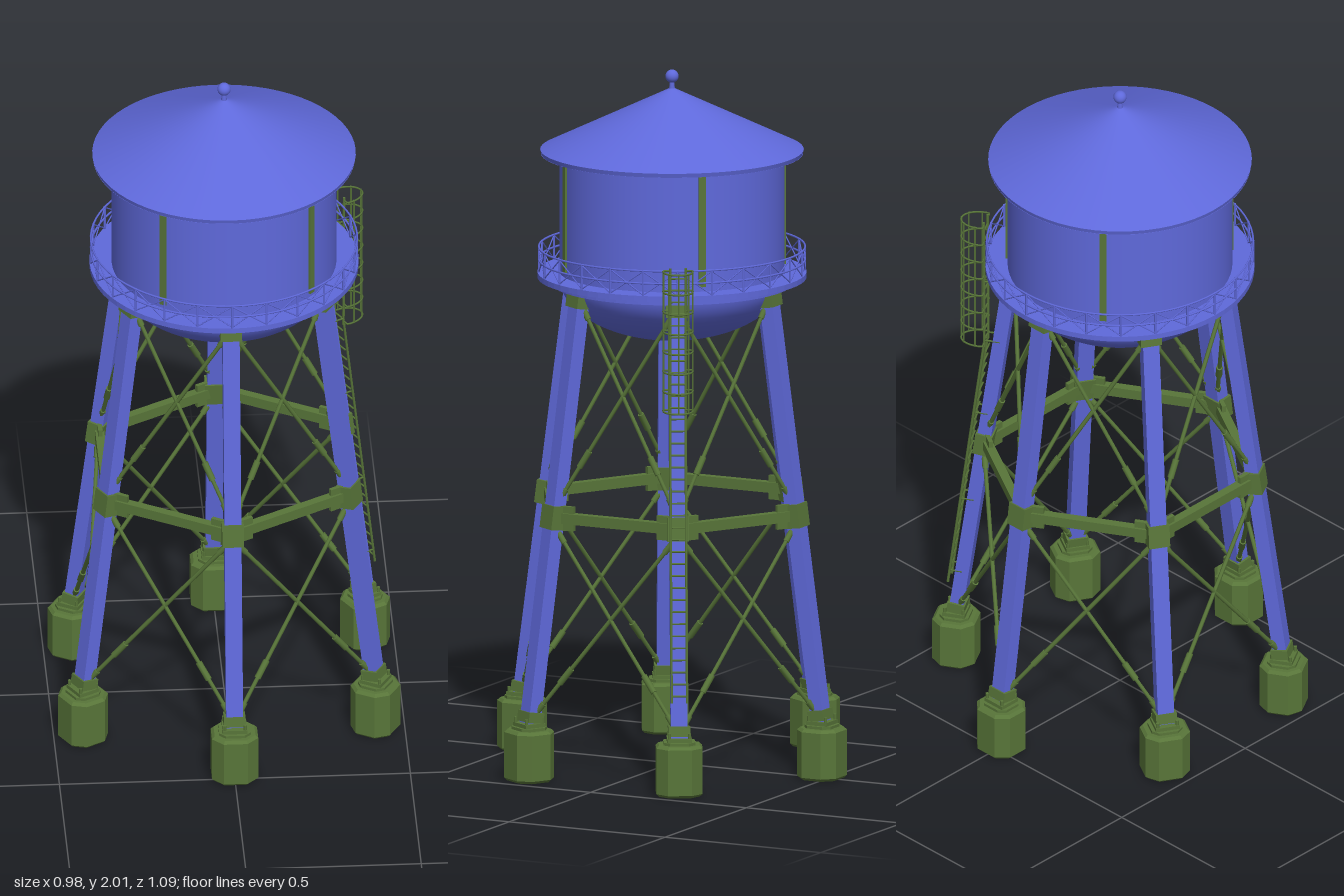
import * as THREE from 'three';
import { mergeGeometries } from 'three/addons/utils/BufferGeometryUtils.js';

const blue = new THREE.MeshStandardMaterial({ color: 0x5f69db, side: THREE.DoubleSide });
const green = new THREE.MeshStandardMaterial({ color: 0x587539 });
const V = (x, y, z) => new THREE.Vector3(x, y, z);
const UP = V(0, 1, 0);

// point at bearing a (0 = front, turning towards +x)
const polar = (a, r, y) => V(Math.sin(a) * r, y, Math.cos(a) * r);
const legAngle = (k) => (k * Math.PI) / 3;
const legRadius = (y) => 0.5 - 0.138 * y;

function add(parent, name, geo, mat, x = 0, y = 0, z = 0) {
  const m = new THREE.Mesh(geo, mat);
  m.name = name;
  m.position.set(x, y, z);
  parent.add(m);
  return m;
}

// round bar between two points
function bar(p, q, r, sides = 6) {
  const d = q.clone().sub(p);
  const g = new THREE.CylinderGeometry(r, r, d.length(), sides);
  g.applyQuaternion(new THREE.Quaternion().setFromUnitVectors(UP, d.clone().normalize()));
  const c = p.clone().add(q).multiplyScalar(0.5);
  return g.translate(c.x, c.y, c.z);
}

// square-section beam between two points, kept upright
function beam(p, q, w, h) {
  const d = q.clone().sub(p), g = new THREE.BoxGeometry(w, h, d.length());
  const m = new THREE.Matrix4().lookAt(q, p, UP);
  m.setPosition(p.clone().add(q).multiplyScalar(0.5));
  return g.applyMatrix4(m);
}

// rectangle with cut corners, extruded upwards
function cutBlock(w, d, c, h, bevel) {
  const x = w / 2, z = d / 2;
  const s = new THREE.Shape([[x - c, -z], [x, -z + c], [x, z - c], [x - c, z], [-x + c, z], [-x, z - c], [-x, -z + c], [-x + c, -z]]
    .map(([a, b]) => new THREE.Vector2(a, b)));
  const g = new THREE.ExtrudeGeometry(s, { depth: h - bevel, bevelEnabled: bevel > 0, bevelThickness: bevel, bevelSize: bevel, bevelOffset: -bevel, bevelSegments: 1 });
  return g.rotateX(-Math.PI / 2);
}

const lathe = (pts, n = 64) => new THREE.LatheGeometry(pts.map(([r, y]) => new THREE.Vector2(r, y)), n);

function makeTank(root) {
  const tank = new THREE.Group();
  tank.name = 'tank';
  root.add(tank);
  add(tank, 'tankWall', new THREE.CylinderGeometry(0.32, 0.32, 0.38, 64, 1, true), blue, 0, 1.585);
  const bowl = [];
  for (let i = 0; i <= 16; i++) {
    const t = (i / 16) * Math.PI / 2;
    bowl.push([0.32 * Math.sin(t), 1.4 - 0.175 * Math.cos(t)]);
  }
  add(tank, 'bowl', lathe(bowl), blue);
  add(tank, 'roof', lathe([[0.375, 1.77], [0, 1.95]]), blue);
  add(tank, 'eave', new THREE.CylinderGeometry(0.375, 0.372, 0.012, 64, 1, true), blue, 0, 1.764);
  add(tank, 'soffit', new THREE.RingGeometry(0.31, 0.373, 64).rotateX(Math.PI / 2), blue, 0, 1.758);
  add(tank, 'finialStem', new THREE.CylinderGeometry(0.006, 0.009, 0.035, 12), blue, 0, 1.955);
  add(tank, 'finialBall', new THREE.SphereGeometry(0.019, 20, 14), blue, 0, 1.981);
  add(tank, 'drainPipe', new THREE.CylinderGeometry(0.005, 0.005, 0.1, 8), green, -0.06, 1.24);
  add(tank, 'drainCap', new THREE.CylinderGeometry(0.022, 0.006, 0.018, 16), blue, 0, 1.221);
  // vertical seams on the wall
  for (const deg of [47, 133, -36, -144]) {
    const a = THREE.MathUtils.degToRad(deg), p = polar(a, 0.32, 1.595);
    add(tank, 'wallSeam', new THREE.BoxGeometry(0.02, 0.33, 0.012), green, p.x, p.y, p.z).rotation.y = a;
  }
}

function makeWalkway(root) {
  const walkway = new THREE.Group();
  walkway.name = 'walkway';
  root.add(walkway);
  const ring = (ri, ro, y0, y1) => [[ri, y0], [ro, y0], [ro, y1], [ri, y1]];
  const flat = blue.clone();
  flat.flatShading = true;
  add(walkway, 'deck', lathe(ring(0.315, 0.383, 1.4, 1.416)), flat);
  add(walkway, 'deckRing', lathe(ring(0.3, 0.345, 1.383, 1.401)), flat);
  for (const y of [1.452, 1.488])
    add(walkway, 'handrail', new THREE.TorusGeometry(0.379, 0.003, 6, 72).rotateX(Math.PI / 2), blue, 0, y);
  // posts and crossed bars between them
  const parts = [], n = 24, step = (2 * Math.PI) / n;
  for (let i = 0; i < n; i++) {
    const a = i * step, b = a + step;
    parts.push(bar(polar(a, 0.379, 1.41), polar(a, 0.379, 1.49), 0.0035));
    parts.push(bar(polar(a, 0.379, 1.418), polar(b, 0.379, 1.486), 0.002, 5));
    parts.push(bar(polar(a, 0.379, 1.486), polar(b, 0.379, 1.418), 0.002, 5));
  }
  add(walkway, 'railingBars', mergeGeometries(parts), blue);
}

function makeLeg(root, k) {
  const leg = new THREE.Group();
  leg.name = 'leg';
  leg.rotation.y = legAngle(k);
  root.add(leg);
  add(leg, 'footing', cutBlock(0.132, 0.125, 0.032, 0.14, 0.008), green, 0, 0, 0.481);
  add(leg, 'footingCap', cutBlock(0.09, 0.085, 0.018, 0.01, 0), green, 0, 0.138, 0.481);
  add(leg, 'basePlate', new THREE.BoxGeometry(0.07, 0.012, 0.066), green, 0, 0.153, 0.481);
  for (const sx of [-1, 1]) for (const sz of [-1, 1])
    add(leg, 'anchorBolt', new THREE.CylinderGeometry(0.005, 0.005, 0.02, 6), green, sx * 0.029, 0.164, 0.481 + sz * 0.027);
  add(leg, 'legColumn', beam(V(0, 0.15, legRadius(0.15)), V(0, 1.39, legRadius(1.39)), 0.048, 0.04), blue);
  // collars where beams and braces meet the leg
  for (const [y, h] of [[0.175, 0.03], [0.745, 0.068], [1.37, 0.055]])
    add(leg, 'collar', new THREE.BoxGeometry(0.062, h, 0.05), green, 0, y, legRadius(y)).rotation.x = -0.137;
}

function makeBracing(root) {
  const node = (k, y) => polar(legAngle(k), legRadius(y), y);
  const struts = [], rods = [], sleeves = [], plates = [];
  for (let k = 0; k < 6; k++) {
    struts.push(beam(node(k, 0.745), node(k + 1, 0.745), 0.026, 0.03));
    for (const [y0, y1] of [[0.165, 0.725], [0.775, 1.365]])
      for (const [i, j] of [[k, k + 1], [k + 1, k]]) {
        const p = node(i, y0), q = node(j, y1);
        rods.push(bar(p, q, 0.0062));
        // turnbuckle
        sleeves.push(bar(p.clone().lerp(q, 0.2), p.clone().lerp(q, 0.28), 0.0095, 8));
        // clevis at each end
        sleeves.push(bar(p.clone().lerp(q, 0.03), p.clone().lerp(q, 0.09), 0.009, 8));
        sleeves.push(bar(p.clone().lerp(q, 0.91), p.clone().lerp(q, 0.97), 0.009, 8));
      }
    // gusset plates reaching from each leg towards its neighbours
    for (const [y, h] of [[0.745, 0.07], [1.37, 0.05]])
      for (const j of [k - 1, k + 1])
        plates.push(beam(node(k, y), node(k, y).lerp(node(j, y), 0.065 / legRadius(y)), 0.012, h));
  }
  add(root, 'horizontalStruts', mergeGeometries(struts), green);
  add(root, 'braceRods', mergeGeometries(rods), green);
  add(root, 'turnbuckles', mergeGeometries(sleeves), green);
  add(root, 'gussetPlates', mergeGeometries(plates), green);
}

function makeLadder(root) {
  const ladder = new THREE.Group();
  ladder.name = 'ladder';
  ladder.rotation.y = legAngle(2);
  root.add(ladder);
  const half = 0.022, bend = 1.08;
  const depth = (y) => (y < bend ? legRadius(y) + 0.036 : 0.395);
  const rails = [], rungs = [], cage = [];
  for (const s of [-half, half]) {
    rails.push(bar(V(s, 0.26, depth(0.26)), V(s, bend, depth(bend)), 0.004));
    rails.push(bar(V(s, bend, 0.393), V(s, 1.5, 0.395), 0.004));
    for (const y of [0.3, 0.55, 0.85, 1.1, 1.3])
      rails.push(bar(V(s, y, depth(y)), V(s, y, legRadius(y)), 0.003));
  }
  for (let y = 0.28; y < 1.49; y += 0.034)
    rungs.push(bar(V(-half, y, depth(y)), V(half, y, depth(y)), 0.0028));
  // safety cage hoops and uprights
  const hoop = (t) => [Math.cos(t) * 0.042, 0.41 + Math.sin(t) * 0.056];
  const angles = Array.from({ length: 11 }, (_, i) => -0.28 + (i / 10) * (Math.PI + 0.56));
  for (let i = 0; i < 8; i++) {
    const y = 1.09 + i * 0.0575;
    const pts = [V(half, y, 0.395), ...angles.map((t) => V(hoop(t)[0], y, hoop(t)[1])), V(-half, y, 0.395)];
    cage.push(new THREE.TubeGeometry(new THREE.CatmullRomCurve3(pts), 24, 0.003, 5));
  }
  for (const t of [0.1, 0.84, Math.PI / 2, 2.3, 3.04]) {
    const [x, z] = hoop(t);
    cage.push(bar(V(x, 1.088, z), V(x, 1.495, z), 0.0026));
  }
  add(ladder, 'ladderRails', mergeGeometries(rails), green);
  add(ladder, 'ladderRungs', mergeGeometries(rungs), green);
  add(ladder, 'ladderCage', mergeGeometries(cage), green);
}

export function createModel() {
  const root = new THREE.Group();
  root.name = 'waterTower';
  makeTank(root);
  makeWalkway(root);
  for (let k = 0; k < 6; k++) makeLeg(root, k);
  makeBracing(root);
  makeLadder(root);
  return root;
}
